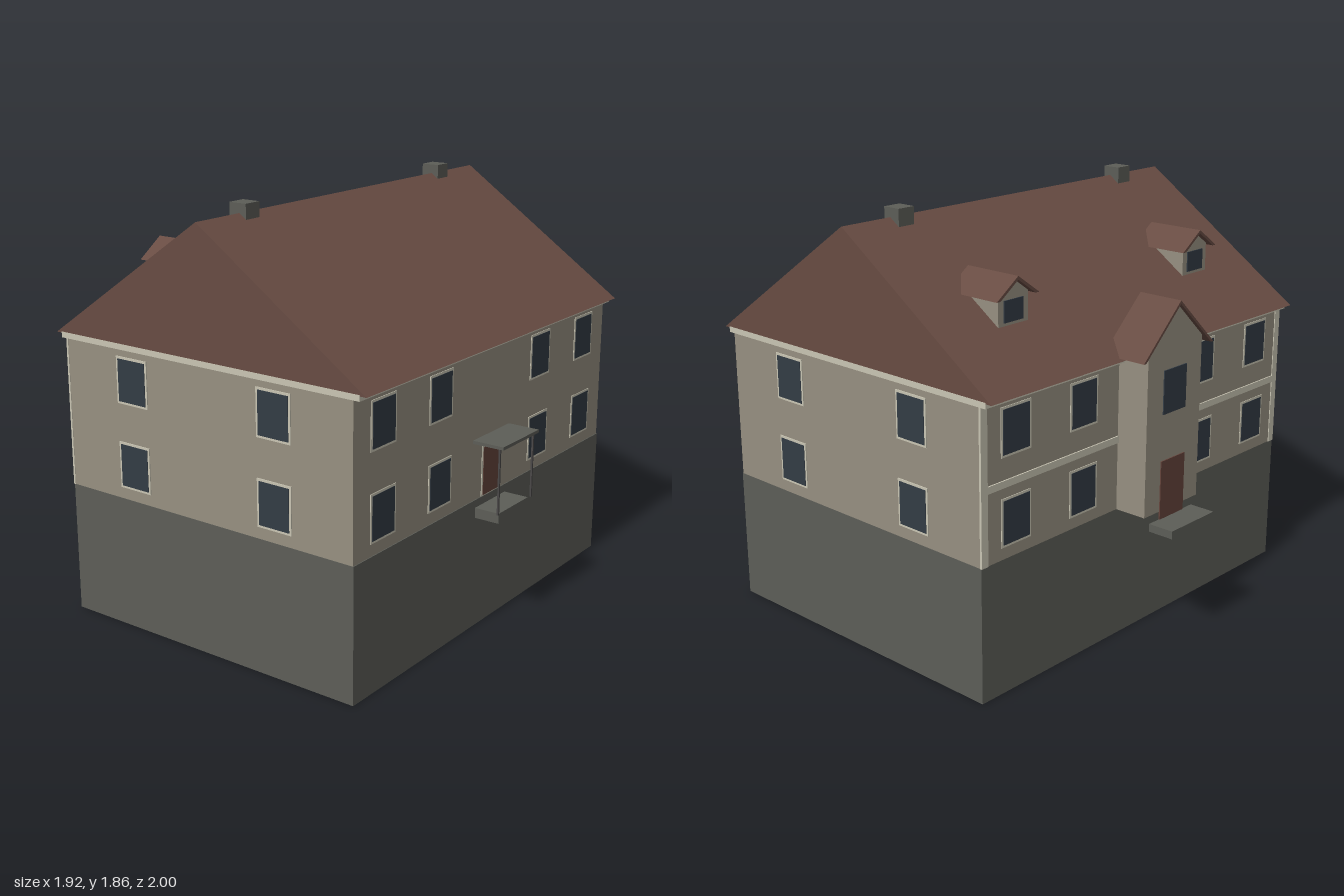
import * as THREE from 'three';

const mat = (name, color) => {
  const m = new THREE.MeshStandardMaterial({ color });
  m.name = name;
  return m;
};

export function createModel() {
  const house = new THREE.Group();
  house.name = 'house';
  const wall = mat('plaster', 0x979081);
  const stone = mat('stone', 0x5d5e58);
  const roof = mat('roofTile', 0x684c43);
  const glass = mat('glass', 0x333c45);
  const trim = mat('trim', 0xcac6b4);
  const doorPaint = mat('doorPaint', 0x65443b);
  const metal = mat('metal', 0x4a4848);

  // Box given by its min and max on each axis
  function box(name, m, x0, x1, y0, y1, z0, z1, parent = house) {
    const mesh = new THREE.Mesh(new THREE.BoxGeometry(x1 - x0, y1 - y0, z1 - z0), m);
    mesh.position.set((x0 + x1) / 2, (y0 + y1) / 2, (z0 + z1) / 2);
    mesh.name = name;
    parent.add(mesh);
    return mesh;
  }

  // Outline extruded by depth along z
  function prism(name, m, points, depth) {
    const shape = new THREE.Shape(points.map(([x, y]) => new THREE.Vector2(x, y)));
    const mesh = new THREE.Mesh(new THREE.ExtrudeGeometry(shape, { depth, bevelEnabled: false }), m);
    mesh.name = name;
    house.add(mesh);
    return mesh;
  }

  // Same, but running along +x from x0, centred on z
  function prismX(name, m, points, x0, x1, z) {
    const mesh = prism(name, m, points, x1 - x0);
    mesh.rotation.y = Math.PI / 2;
    mesh.position.set(x0, 0, z);
  }

  // Flat framed panel, built facing +z and turned by angle
  function panel(name, m, w, h, x, y, z, angle, frame = 0.01) {
    const g = new THREE.Group();
    g.name = name;
    if (frame) box('frame', trim, -w / 2, w / 2, -h / 2, h / 2, -0.002, 0.003, g);
    const i = frame;
    box('pane', m, -w / 2 + i, w / 2 - i, -h / 2 + i, h / 2 - i, -0.002, 0.005, g);
    g.position.set(x, y, z);
    g.rotation.y = angle;
    house.add(g);
  }

  const L = -0.69, R = 0.81, Z = 0.995;

  // Main body
  box('basement', stone, L, R + 0.004, 0, 0.585, -Z, Z);
  box('walls', wall, L, R, 0.585, 1.25, -Z + 0.001, Z - 0.001);
  box('cornice', trim, L - 0.03, R + 0.03, 1.24, 1.265, -Z - 0.001, Z + 0.001);
  const main = prism('mainRoof', roof, [[-0.75, 1.26], [0.87, 1.26], [0.06, 1.815]], 2 * Z);
  main.position.z = -Z;

  // Windows on all four sides
  const rows = [0.738, 1.11];
  for (const y of rows) {
    for (const s of [-1, 1]) {
      for (const x of [-0.315, 0.433])
        panel('endWindow', glass, 0.17, 0.204, x, y, s * Z, s > 0 ? 0 : Math.PI);
      for (const z of [0.4, 0.8]) {
        panel('rightWindow', glass, 0.168, 0.204, R, y, s * z, Math.PI / 2);
        panel('leftWindow', glass, 0.168, 0.204, L, y, s * z, -Math.PI / 2);
      }
    }
  }

  // Corner strips and string course on the bay side
  for (const s of [-1, 1]) {
    box('cornerStrip', trim, L - 0.004, L + 0.006, 0.585, 1.24, s * 0.978 - 0.018, s * 0.978 + 0.018);
    const z0 = s > 0 ? 0.18 : -0.96;
    box('stringCourse', trim, L - 0.006, L + 0.004, 0.885, 0.915, z0, z0 + 0.78);
  }

  // Chimneys
  for (const z of [-0.695, 0.695])
    box('chimney', stone, 0.01, 0.095, 1.73, 1.855, z - 0.042, z + 0.042);

  // Gabled projection: pentagon wall under an open sheet roof
  function gabled(name, z, wallHalf, base, half, eave, ridge, wallX, roofX) {
    const slope = (ridge - eave) / half, t = 0.015;
    const top = ridge - t;
    const side = top - slope * wallHalf;
    prismX(name + 'Walls', wall,
      [[-wallHalf, base], [wallHalf, base], [wallHalf, side], [0, top], [-wallHalf, side]], ...wallX, z);
    const inner = half - t / slope;
    prismX(name + 'Roof', roof,
      [[inner, eave], [half, eave], [0, ridge], [-half, eave], [-inner, eave], [0, ridge - t]], ...roofX, z);
  }

  // Entrance bay
  gabled('bay', 0, 0.18, 0.585, 0.235, 1.27, 1.49, [-0.84, -0.68], [-0.86, -0.65]);
  panel('bayWindow', glass, 0.15, 0.19, -0.84, 1.11, 0, -Math.PI / 2, 0);
  panel('bayDoor', doorPaint, 0.16, 0.26, -0.84, 0.68, 0, -Math.PI / 2, 0);
  box('bayStep', stone, -0.96, -0.84, 0.515, 0.55, -0.145, 0.145);
  box('bayStepBack', stone, -0.84, L, 0.55, 0.585, -0.145, 0.145).visible = false;

  // Dormers
  for (const z of [-0.595, 0.595]) {
    gabled('dormer', z, 0.085, 1.4, 0.122, 1.555, 1.64, [-0.485, -0.26], [-0.513, -0.238]);
    panel('dormerWindow', glass, 0.11, 0.09, -0.485, 1.5, z, -Math.PI / 2, 0);
  }

  // Side entrance with canopy
  panel('sideDoor', doorPaint, 0.145, 0.235, R, 0.697, 0, Math.PI / 2);
  box('sideStep', stone, R, 0.93, 0.505, 0.55, -0.122, 0.122);
  box('canopy', stone, R, 0.957, 0.842, 0.856, -0.147, 0.147);
  for (const z of [-0.138, 0.138])
    box('canopyPost', metal, 0.931, 0.939, 0.55, 0.842, z - 0.004, z + 0.004);

  return house;
}
